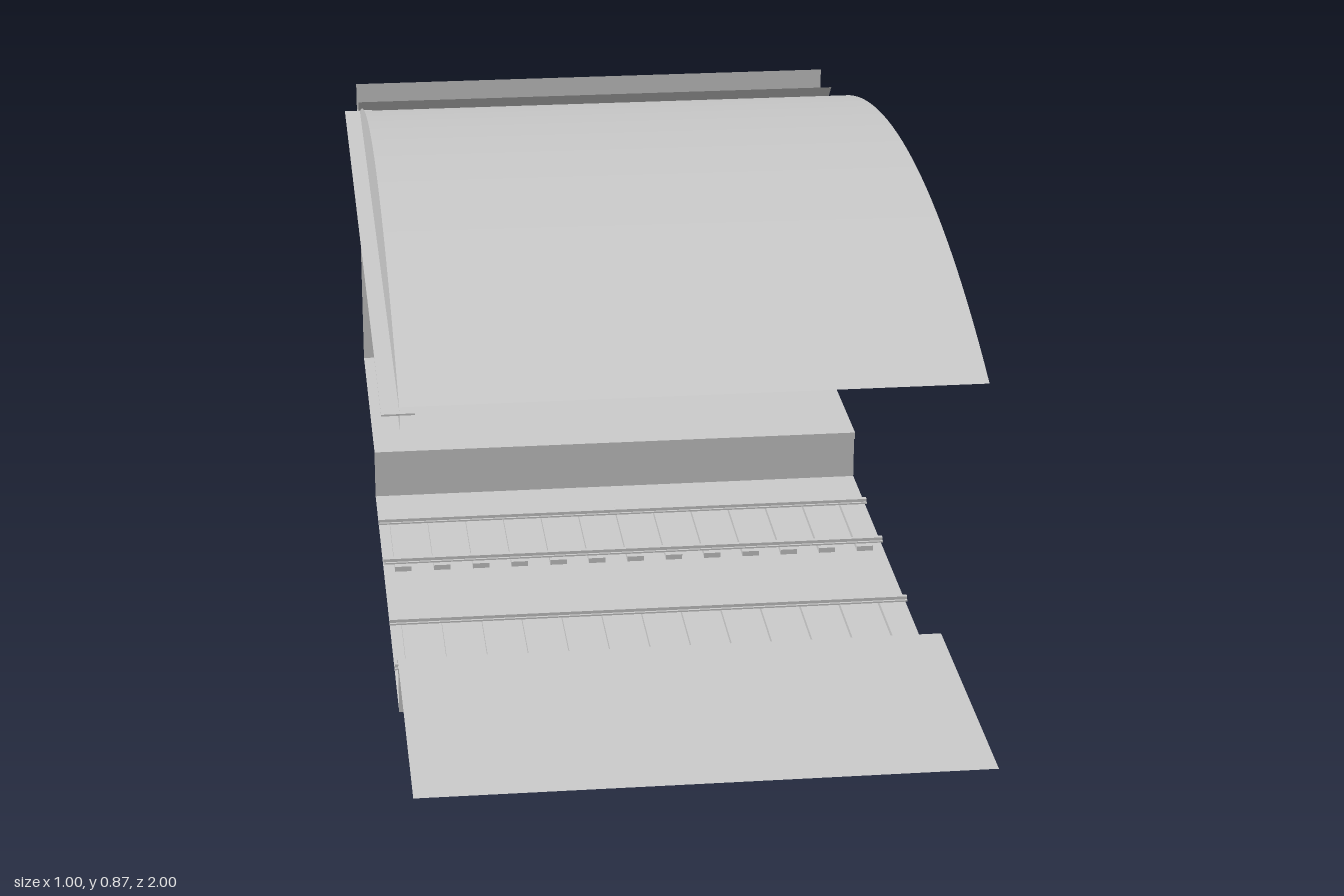
import * as THREE from 'three';

const X0 = -0.475, X1 = 0.5, BAY = (X1 - X0) / 2;
const SPRING = 0.5, TOP = 0.715, FLOOR = 0.1;
const mat = new THREE.MeshStandardMaterial({ color: 0xcccccc, side: THREE.DoubleSide });
const clampX = x => Math.min(X1, Math.max(X0, x));

function add(parent, name, geometry, x = 0, y = 0, z = 0) {
  const mesh = new THREE.Mesh(geometry, mat);
  mesh.name = name;
  mesh.position.set(x, y, z);
  parent.add(mesh);
  return mesh;
}
const box = (parent, name, w, h, d, x, y, z) =>
  add(parent, name, new THREE.BoxGeometry(w, h, d), x, y, z);

// Smooth surface through a list of equally long cross-sections
function loft(sections) {
  const n = sections[0].length, index = [];
  for (let i = 0; i < sections.length - 1; i++) {
    for (let j = 0; j < n - 1; j++) {
      const a = i * n + j, b = a + n;
      index.push(a, b, a + 1, b, b + 1, a + 1);
    }
  }
  const g = new THREE.BufferGeometry();
  g.setAttribute('position', new THREE.Float32BufferAttribute(sections.flat(2), 3));
  g.setIndex(index);
  g.computeVertexNormals();
  return g;
}
// Surface running along the whole length from a profile of [z, y] points
const sweep = profile =>
  loft([X0, X1].map(x => profile.map(([z, y]) => [x, y, z])));

// Forward-curving front of the pillars and spandrels
const frontZ = y =>
  Math.min(-0.785, -0.88 + 0.08 * Math.pow(Math.max(0, (y - 0.48) / 0.195), 1.8));
const column = (x, y0) => {
  const pts = [];
  for (let i = 0; i <= 16; i++) {
    const y = y0 + (TOP - y0) * i / 16;
    pts.push([x, y, frontZ(y)]);
  }
  return pts;
};

// Roof arc height
const SAG = 0.147, HALF = 0.7975, MID = 0.0125;
const R = (HALF * HALF + SAG * SAG) / (2 * SAG);
const roofY = z => TOP + Math.sqrt(R * R - (z - MID) ** 2) - (R - SAG);
const roofZs = Array.from({ length: 33 }, (_, i) => MID + HALF - 2 * HALF * i / 32);

function buildNiche(parent, c) {
  const A = 16, spandrel = [], front = [], back = [];
  const put = (u, yf, yb) => {
    const xf = c + u * 0.175, xb = c + u * 0.1425;
    front.push([clampX(xf), yf, frontZ(yf)]);
    back.push([clampX(xb), yb, -1]);
  };
  put(-1, FLOOR, FLOOR);
  for (let i = 0; i <= A; i++) {
    const t = Math.PI * i / A, u = -Math.cos(t), s = Math.sin(t);
    put(u, SPRING + 0.175 * s, SPRING + 0.155 * s);
    const x = c + u * 0.175;
    if (x >= X0 - 1e-6 && x <= X1 + 1e-6) spandrel.push(column(x, SPRING + 0.175 * s));
  }
  put(1, FLOOR, FLOOR);
  // keep only the part of the niche inside the section
  const keep = front.map((_, i) => i).filter(i =>
    (c > X0 + 0.01 || i >= A / 2 + 1) && (c < X1 - 0.01 || i <= A / 2 + 1));
  add(parent, 'nicheReveal', loft([keep.map(i => front[i]), keep.map(i => back[i])]));
  add(parent, 'archSpandrel', loft(spandrel));
}

function buildPillar(parent, c) {
  const h = BAY / 2 - 0.175;
  add(parent, 'pillarLowerFace', loft([-h, h].map(u =>
    [FLOOR, SPRING].map(y => [c + u, y, frontZ(y)]))));
  add(parent, 'pillarUpperFace', loft([-h, h].map(u => column(c + u, SPRING))));
  // Splayed plinth
  const f = h + 0.006, b = BAY / 2 - 0.1425 + 0.008;
  const s = new THREE.Shape();
  s.moveTo(-b, 1).lineTo(-f, 0.873).lineTo(f, 0.873).lineTo(b, 1).closePath();
  const g = new THREE.ExtrudeGeometry(s, { depth: 0.066, bevelEnabled: false });
  g.rotateX(-Math.PI / 2);
  add(parent, 'pillarPlinth', g, c, FLOOR, 0);
}

function buildBench() {
  const bench = new THREE.Group();
  bench.name = 'bench';
  const c = X0 + BAY, w = 0.275;
  for (let i = 0; i < 4; i++) box(bench, 'seatSlat', w, 0.008, 0.018, c, 0.182, -0.87 - i * 0.023);
  for (let i = 0; i < 2; i++) box(bench, 'backSlat', w, 0.026, 0.007, c, 0.212 + i * 0.03, -0.955 - i * 0.008);
  for (const s of [-1, 1]) {
    const x = c + s * 0.127;
    box(bench, 'frontLeg', 0.008, 0.08, 0.008, x, 0.14, -0.87);
    box(bench, 'backLeg', 0.008, 0.08, 0.008, x, 0.14, -0.945);
    box(bench, 'seatBearer', 0.008, 0.008, 0.09, x, 0.174, -0.905);
    const post = box(bench, 'backPost', 0.008, 0.08, 0.006, x, 0.213, -0.963);
    post.rotation.x = -0.25;
  }
  return bench;
}

function buildTrack(side) {
  const track = new THREE.Group();
  track.name = 'track';
  const len = X1 - X0, mid = (X0 + X1) / 2, n = 13;
  for (let i = 0; i < n; i++)
    box(track, 'sleeper', 0.032, 0.01, 0.24, X0 + len * (i + 0.5) / n, 0.005, side * 0.235);
  for (const z of [0.137, 0.327]) {
    box(track, 'railFoot', len, 0.003, 0.018, mid, 0.0115, side * z);
    box(track, 'railHead', len, 0.007, 0.009, mid, 0.0155, side * z);
  }
  return track;
}

export function createModel() {
  const model = new THREE.Group();
  model.name = 'stationSection';

  // Track bed and the two platforms with a lip at the edge
  add(model, 'trackBed', sweep([[0.485, 0], [-0.485, 0]]));
  for (const s of [1, -1]) {
    add(model, 'platformTop', sweep([[s, FLOOR], [s * 0.475, FLOOR]]));
    add(model, 'platformLip', sweep([[s * 0.475, FLOOR], [s * 0.475, 0.086]]));
    add(model, 'platformLipUnderside', sweep([[s * 0.475, 0.086], [s * 0.485, 0.086]]));
    add(model, 'platformRiser', sweep([[s * 0.485, 0.086], [s * 0.485, 0]]));
    model.add(buildTrack(s));
  }

  // Back wall and the cove leaning forward from it
  add(model, 'backWall', sweep([[-1, FLOOR], [-1, 0.71]]));
  const cove = [];
  for (let i = 0; i <= 12; i++) {
    const t = i / 12;
    cove.push([-1 + 0.14 * Math.pow(t, 1.5), 0.524 + 0.19 * t]);
  }
  add(model, 'wallCove', sweep(cove));

  // Arcade
  const arcade = new THREE.Group();
  arcade.name = 'arcade';
  for (let i = 0; i < 3; i++) buildNiche(arcade, X0 + i * BAY);
  for (let i = 0; i < 2; i++) buildPillar(arcade, X0 + (i + 0.5) * BAY);
  model.add(arcade, buildBench());

  // Vaulted roof
  add(model, 'roof', sweep(roofZs.map(z => [z, roofY(z)])));

  // End panel closing the roof segment, with a narrow ledge outside
  const s = new THREE.Shape();
  s.moveTo(0.838, 0.682).lineTo(0.838, 0.713);
  roofZs.forEach(z => s.lineTo(z, roofY(z) + 0.005));
  s.lineTo(-0.803, 0.682).closePath();
  const panel = new THREE.ShapeGeometry(s);
  panel.rotateY(-Math.PI / 2);
  add(model, 'endPanel', panel, X0, 0, 0);
  box(model, 'endLedge', 0.03, 0.003, 1.64, X0 - 0.015, 0.712, 0.0155);
  for (const z of [0.823, -0.795])
    box(model, 'ledgeReturn', 0.025, 0.003, 0.024, X0 + 0.0125, 0.712, z);

  return model;
}
